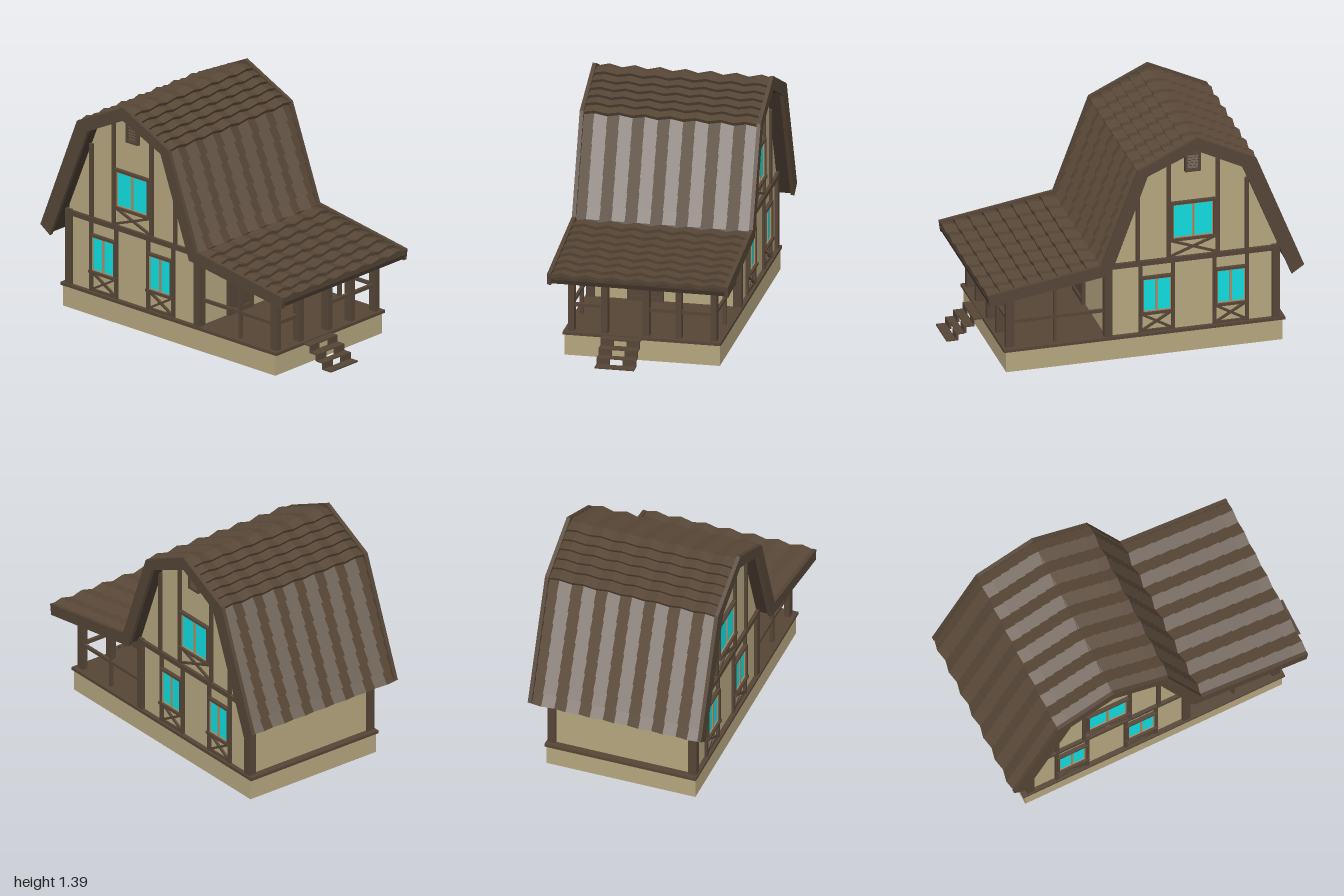
import * as THREE from 'three';

const mat = (color, side = THREE.FrontSide) => new THREE.MeshStandardMaterial({ color, side, flatShading: true });

export function createModel() {
  const house = new THREE.Group();
  house.name = 'barnHouse';
  const plaster = mat(0xb5a67f), wood = mat(0x554536), dark = mat(0x40342a);
  const glass = mat(0x10dde0), sash = mat(0xb08a62), brass = mat(0x8a8468);
  const tileMat = mat(0x584737, THREE.DoubleSide);

  const add = (name, geo, m, parent = house) => {
    const mesh = new THREE.Mesh(geo, m);
    mesh.name = name;
    parent.add(mesh);
    return mesh;
  };
  // Box given by its minimum and maximum along each axis
  const box = (name, m, x0, x1, y0, y1, z0, z1, parent) => {
    const b = add(name, new THREE.BoxGeometry(x1 - x0, y1 - y0, Math.abs(z1 - z0)), m, parent);
    b.position.set((x0 + x1) / 2, (y0 + y1) / 2, (z0 + z1) / 2);
    return b;
  };
  // Slanted timber in a plane of constant z
  const beam = (name, x0, y0, x1, y1, w, zc, d, parent) => {
    const b = add(name, new THREE.BoxGeometry(Math.hypot(x1 - x0, y1 - y0), w, d), wood, parent);
    b.position.set((x0 + x1) / 2, (y0 + y1) / 2, zc);
    b.rotation.z = Math.atan2(y1 - y0, x1 - x0);
  };
  // Polygon in x and y, extruded from z0 to z1
  const prism = (name, pts, z0, z1, m) => {
    const shape = new THREE.Shape(pts.map(p => new THREE.Vector2(p[0], p[1])));
    const geo = new THREE.ExtrudeGeometry(shape, { depth: z1 - z0, bevelEnabled: false });
    return add(name, geo.translate(0, 0, z0), m);
  };

  // Base, floor and walls
  box('foundation', plaster, -0.89, 0.77, 0, 0.13, -0.46, 0.46);
  box('floor', wood, -0.905, 0.785, 0.128, 0.146, -0.468, 0.468);
  prism('walls', [[-0.86, 0.14], [0.165, 0.14], [0.165, 0.6], [-0.06, 1.2], [-0.355, 1.33],
    [-0.63, 1.19], [-0.86, 0.63]], -0.44, 0.44, plaster);

  // Framed window with two sashes
  const makeWindow = (x0, x1, y0, y1, s, parent) => {
    const g = new THREE.Group();
    g.name = 'window';
    parent.add(g);
    const w = 0.015, a = 0.44 * s, b = 0.464 * s, c = 0.45 * s, e = 0.456 * s;
    box('windowHead', wood, x0, x1, y1 - w, y1, a, b, g);
    box('windowSill', wood, x0 - 0.005, x1 + 0.005, y0, y0 + w, a, 0.47 * s, g);
    for (const x of [x0, x1 - w]) box('windowJamb', wood, x, x + w, y0, y1, a, b, g);
    box('glass', glass, x0 + w, x1 - w, y0 + w, y1 - w, a, c, g);
    const xm = (x0 + x1) / 2, t = 0.006;
    for (const [l, r] of [[x0 + w, xm - 0.001], [xm + 0.001, x1 - w]]) {
      for (const x of [l, r - t]) box('sashStile', sash, x, x + t, y0 + w, y1 - w, a, e, g);
      for (const y of [y0 + w, y1 - w - t]) box('sashRail', sash, l, r, y, y + t, a, e, g);
    }
  };
  // Crossed braces below a window
  const cross = (x0, x1, y0, y1, s, parent) => {
    beam('brace', x0, y0, x1, y1, 0.013, 0.445 * s, 0.016, parent);
    beam('brace', x0, y1, x1, y0, 0.013, 0.445 * s, 0.017, parent);
  };

  // Timbered gable, front and back
  for (const s of [1, -1]) {
    const g = new THREE.Group();
    g.name = s > 0 ? 'frontGable' : 'backGable';
    house.add(g);
    const z0 = 0.435 * s, z1 = 0.457 * s;
    box('cornerPost', wood, -0.875, -0.83, 0.146, 0.61, 0.41 * s, 0.46 * s, g);
    box('cornerPost', wood, 0.13, 0.178, 0.146, 0.61, 0.41 * s, 0.46 * s, g);
    box('crossBeam', wood, -0.865, 0.165, 0.575, 0.605, z0, 0.46 * s, g);
    for (const [x0, x1] of [[-0.69, -0.475], [-0.245, -0.03]]) {
      for (const x of [x0, x1 - 0.02]) box('lowerStud', wood, x, x + 0.02, 0.146, 0.58, z0, z1, g);
      makeWindow(x0 + 0.008, x1 - 0.008, 0.262, 0.502, s, g);
      cross(x0 + 0.015, x1 - 0.015, 0.155, 0.262, s, g);
      box('lowerRail', wood, x0, x1, 0.146, 0.16, z0, 0.45 * s, g);
    }
    for (const [x, top] of [[-0.69, 1.06], [-0.515, 1.25], [-0.22, 1.25], [-0.035, 1.12]])
      box('upperStud', wood, x, x + 0.022, 0.6, top, z0, z1, g);
    makeWindow(-0.49, -0.22, 0.712, 0.957, s, g);
    cross(-0.493, -0.22, 0.61, 0.71, s, g);
    // Louvred vent
    box('ventBack', dark, -0.4, -0.305, 1.145, 1.265, z0, 0.445 * s, g);
    for (const x of [-0.4, -0.319]) box('ventSide', wood, x, x + 0.014, 1.145, 1.265, z0, 0.464 * s, g);
    for (const y of [1.145, 1.251]) box('ventEdge', wood, -0.4, -0.305, y, y + 0.014, z0, 0.464 * s, g);
    for (let i = 0; i < 5; i++) {
      const slat = box('ventSlat', wood, -0.387, -0.318, 1.167 + i * 0.018, 1.171 + i * 0.018, 0.44 * s, 0.46 * s, g);
      slat.rotation.x = 0.6 * s;
    }
  }

  // Roof lines: outer and inner edge from the left eave to the porch eave
  const outer = [[-1, 0.5], [-0.714, 1.217], [-0.355, 1.39], [0, 1.222], [0.215, 0.645], [0.9, 0.537]];
  const inner = [[-0.925, 0.45], [-0.63, 1.172], [-0.355, 1.31], [-0.06, 1.182], [0.163, 0.578], [0.89, 0.468]];
  const line = t => outer.map((p, i) => [0, 1].map(k => p[k] + (inner[i][k] - p[k]) * t));
  const band = (t0, t1) => [...line(t0), ...line(t1).reverse()];
  prism('frontBargeBoard', band(0, 1), 0.513, 0.536, wood);
  prism('backBargeBoard', band(0, 1), -0.536, -0.513, wood);
  prism('roofDeck', band(0.5, 0.85), -0.515, 0.515, dark);

  // Folded, overlapping tile rows running downhill from a to b
  const tileSlope = (name, a, b, rows, over) => {
    const dx = b[0] - a[0], dy = b[1] - a[1], len = Math.hypot(dx, dy), sg = Math.sign(dx);
    const n = [-dy / len * sg, dx / len * sg], folds = 14, pos = [];
    const pt = (u, h, j) => {
      const k = h + (j % 2 ? 0.009 : -0.009);
      return [a[0] + dx * u + n[0] * k, a[1] + dy * u + n[1] * k, -0.525 + j * 1.05 / folds];
    };
    const quad = (p, q, r, t) => {
      const c = sg < 0 ? [p, q, r, p, r, t] : [p, r, q, p, t, r];
      c.forEach(v => pos.push(...v));
    };
    for (let i = 0; i < rows; i++) {
      const u0 = i / rows, u1 = (i + 1) / rows + (i === rows - 1 ? over : 0.012);
      for (let j = 0; j < folds; j++) {
        quad(pt(u0, -0.006, j), pt(u1, 0.016, j), pt(u1, 0.016, j + 1), pt(u0, -0.006, j + 1));
        quad(pt(u1, 0.016, j), pt(u1, -0.006, j), pt(u1, -0.006, j + 1), pt(u1, 0.016, j + 1));
        quad(pt(u1, -0.006, j), pt(u0, -0.02, j), pt(u0, -0.02, j + 1), pt(u1, -0.006, j + 1));
      }
    }
    const geo = new THREE.BufferGeometry();
    geo.setAttribute('position', new THREE.Float32BufferAttribute(pos, 3));
    geo.computeVertexNormals();
    add(name, geo, tileMat);
  };
  const r = line(0.2);
  tileSlope('leftLowerTiles', r[1], r[0], 9, 0);
  tileSlope('leftUpperTiles', r[2], r[1], 6, 0.03);
  tileSlope('rightUpperTiles', r[2], r[3], 6, 0.03);
  tileSlope('rightLowerTiles', r[3], r[4], 7, 0);
  tileSlope('porchTiles', r[4], r[5], 8, 0);

  // Porch posts and railings
  for (const [z, w] of [[0.4225, 0.035], [0.225, 0.04], [-0.02, 0.04], [-0.213, 0.035], [-0.4225, 0.035]])
    box('porchPost', wood, 0.715, 0.765, 0.146, 0.51, z - w / 2, z + w / 2);
  for (const [z0, z1] of [[0.225, 0.42], [-0.21, -0.02], [-0.42, -0.21]])
    box('porchFrontRail', wood, 0.73, 0.75, 0.295, 0.315, z0, z1);
  for (const s of [1, -1]) {
    box('porchSideRail', wood, 0.17, 0.73, 0.295, 0.314, 0.415 * s, 0.432 * s);
    box('porchSidePost', wood, 0.46, 0.476, 0.146, 0.55, 0.412 * s, 0.435 * s);
  }

  // Front door with raised frame, panel and knob
  box('door', wood, 0.16, 0.175, 0.146, 0.54, 0.0, 0.215);
  for (const z of [0, 0.193]) box('doorStile', wood, 0.16, 0.186, 0.146, 0.54, z, z + 0.022);
  for (const y of [0.146, 0.515]) box('doorRail', wood, 0.16, 0.185, y, y + 0.03, 0.01, 0.205);
  box('doorPanel', wood, 0.16, 0.18, 0.185, 0.505, 0.035, 0.175);
  const knob = add('doorKnob', new THREE.SphereGeometry(0.01, 10, 8), brass);
  knob.position.set(0.194, 0.35, 0.011);

  // Steps: thin treads joined by pairs of risers
  [[0.775, 0.838, 0.14], [0.832, 0.887, 0.1], [0.88, 0.935, 0.06], [0.93, 1, 0.022]].forEach(([x0, x1, y], i) => {
    if (i === 2 || i === 3) {
      box('treadEdge', wood, x0 + 0.012, x1, y - 0.008, y, 0, 0.233);
    } else box('tread', wood, x0, x1, y - 0.008, y, 0, 0.233);
    if (i < 3) for (const z of [0, 0.155])
      box('riser', wood, x1 - 0.007, x1 + (i ? 0.008 : 0), y - 0.045, y, z, z + 0.078);
  });
  return house;
}
